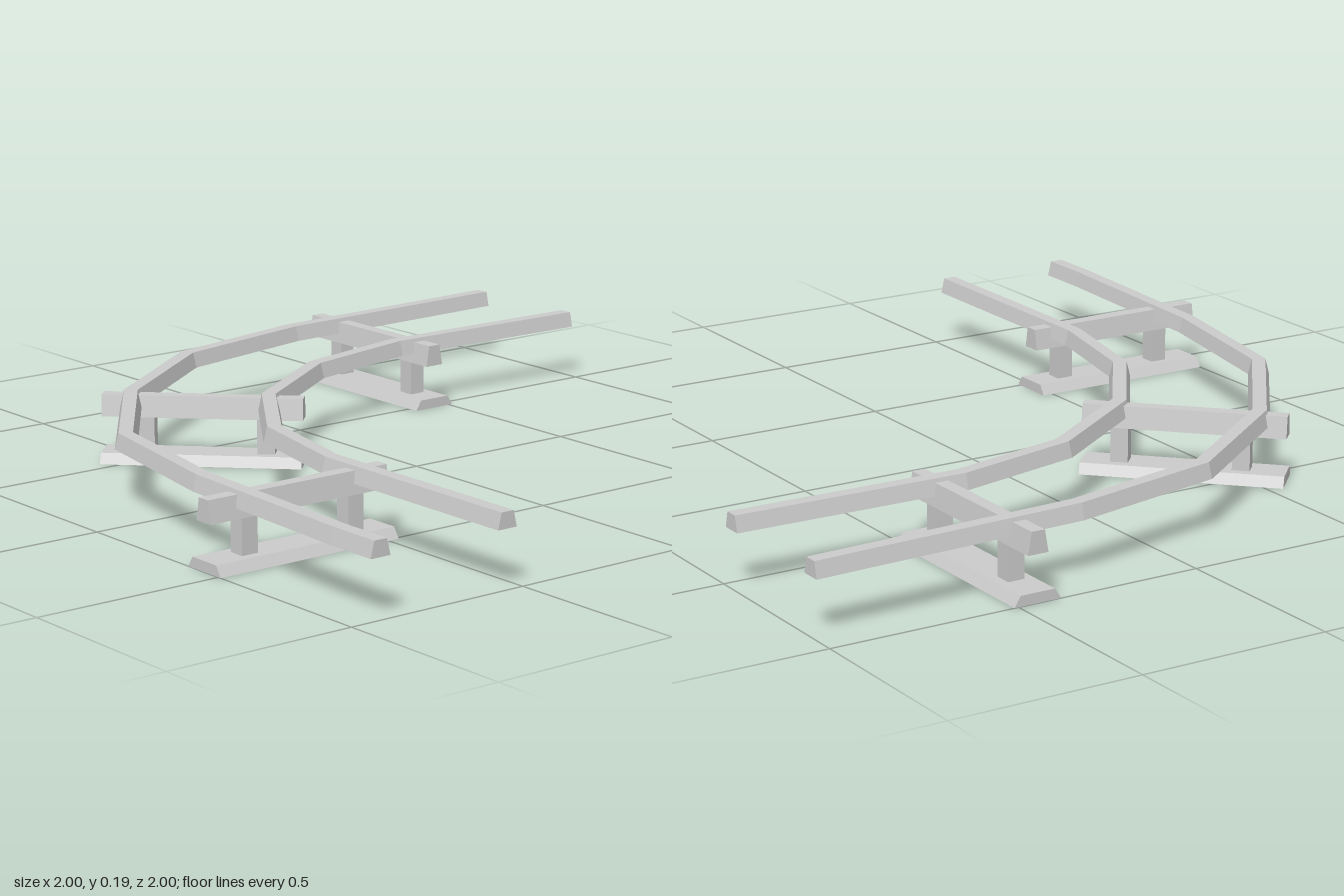
import * as THREE from 'three';

const material = new THREE.MeshStandardMaterial({ color: 0xcccccc, flatShading: true });

// Bar with a tapered cross-section, extruded along x and centred
function bar(name, profile, length) {
  const shape = new THREE.Shape(profile.map(([a, b]) => new THREE.Vector2(a, b)));
  const geometry = new THREE.ExtrudeGeometry(shape, { depth: length, bevelEnabled: false });
  geometry.translate(0, 0, -length / 2).rotateY(Math.PI / 2);
  const mesh = new THREE.Mesh(geometry, material);
  mesh.name = name;
  return mesh;
}

// Trapezoid rail swept along [x, z] points with mitred corners
function rail(name, points) {
  const section = [[-0.028, 0.146], [-0.018, 0.187], [0.018, 0.187], [0.028, 0.146]];
  const path = points.map(([x, z]) => new THREE.Vector2(x, z));
  const last = path.length - 1;
  const dirs = path.slice(0, last).map((p, i) => path[i + 1].clone().sub(p).normalize());
  const rings = path.map((p, i) => {
    // The two ends are cut square to the z and x axes
    let side = new THREE.Vector2(-1, 0);
    let mitre = 1;
    if (i === last) side = new THREE.Vector2(0, 1);
    else if (i > 0) {
      const t = dirs[i - 1].clone().add(dirs[i]).normalize();
      side = new THREE.Vector2(-t.y, t.x);
      mitre = 1 / t.dot(dirs[i]);
    }
    return section.map(([w, y]) => [p.x + side.x * w * mitre, y, p.y + side.y * w * mitre]);
  });
  const pos = [];
  const quad = (a, b, c, d) => pos.push(...a, ...b, ...c, ...a, ...c, ...d);
  for (let i = 0; i < last; i++) {
    for (let k = 0; k < 4; k++) {
      const n = (k + 1) % 4;
      quad(rings[i][k], rings[i][n], rings[i + 1][n], rings[i + 1][k]);
    }
  }
  const [a, b] = [rings[0], rings[last]];
  quad(a[3], a[2], a[1], a[0]);
  quad(b[0], b[1], b[2], b[3]);
  const geometry = new THREE.BufferGeometry();
  geometry.setAttribute('position', new THREE.Float32BufferAttribute(pos, 3));
  geometry.computeVertexNormals();
  const mesh = new THREE.Mesh(geometry, material);
  mesh.name = name;
  return mesh;
}

// Support: foot plate, two posts and a cross beam, running along x
function support(name, x, z, angle) {
  const group = new THREE.Group();
  group.name = name;
  group.add(bar('footPlate', [[-0.064, 0], [0.064, 0], [0.047, 0.027], [-0.047, 0.027]], 0.53));
  group.add(bar('crossBeam', [[-0.028, 0.12], [0.028, 0.12], [0.018, 0.177], [-0.018, 0.177]], 0.53));
  for (const s of [-1, 1]) {
    const post = new THREE.Mesh(new THREE.BoxGeometry(0.046, 0.105, 0.045), material);
    post.name = 'post';
    post.position.set(s * 0.158 + 0.009, 0.0725, 0);
    group.add(post);
  }
  group.position.set(x, 0, z);
  group.rotation.y = angle;
  return group;
}

export function createModel() {
  const model = new THREE.Group();
  model.name = 'curvedTrack';

  // Rails
  model.add(rail('outerRail', [[-0.917, -1], [-0.911, -0.85], [-0.892, -0.27], [-0.8, 0.157], [-0.53, 0.53],
    [-0.157, 0.803], [0.285, 0.886], [0.85, 0.916], [1, 0.917]]));
  model.add(rail('innerRail', [[-0.545, -1], [-0.558, -0.38], [-0.48, -0.037], [-0.267, 0.278],
    [0.02, 0.475], [0.345, 0.546], [1, 0.547]]));

  // Supports at the two ends and the middle of the bend
  model.add(support('backSupport', -0.735, -0.447, 0));
  model.add(support('middleSupport', -0.395, 0.395, Math.PI / 4));
  model.add(support('sideSupport', 0.445, 0.735, Math.PI / 2));
  return model;
}
